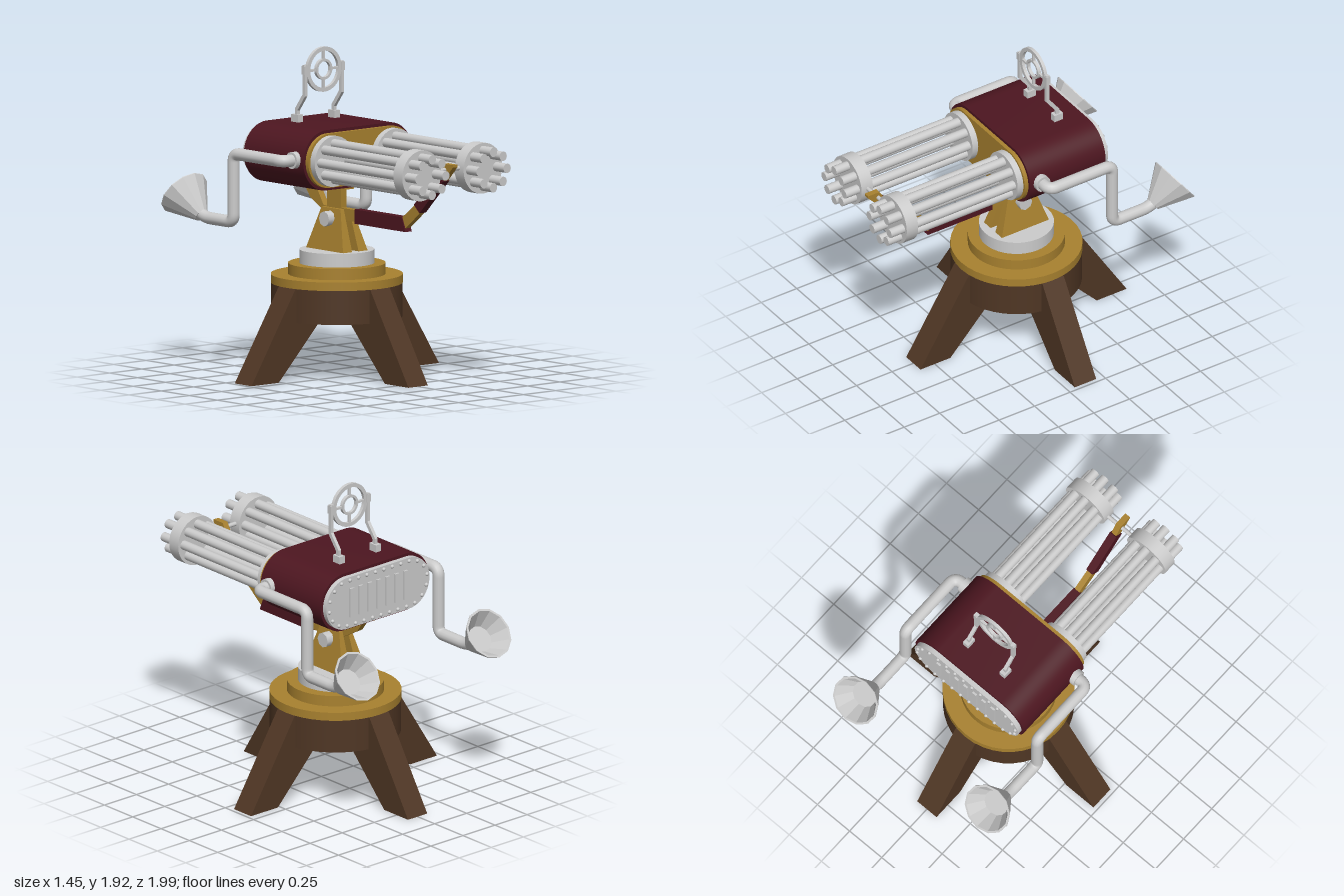
import * as THREE from 'three';
import { toCreasedNormals } from 'three/addons/utils/BufferGeometryUtils.js';

const mat = (color) => new THREE.MeshStandardMaterial({ color, side: THREE.DoubleSide });
const metal = mat(0xcccccc), red = mat(0x4d1620), gold = mat(0xa8812f), wood = mat(0x4f3624);
const V = (x, y, z) => new THREE.Vector3(x, y, z);
const baseZ = -0.125, gunY = 1.3;

export function createModel() {
  const root = new THREE.Group();

  const add = (name, geo, material, x = 0, y = 0, z = 0, parent = root) => {
    const m = new THREE.Mesh(geo, material);
    m.name = name;
    m.position.set(x, y, z);
    parent.add(m);
    return m;
  };
  const box = (name, w, h, d, material, x, y, z, parent) =>
    add(name, new THREE.BoxGeometry(w, h, d), material, x, y, z, parent);
  const disc = (name, r, y0, y1, material) =>
    add(name, new THREE.CylinderGeometry(r, r, y1 - y0, 40), material, 0, (y0 + y1) / 2, baseZ);
  // cylinder along z
  const rodZ = (name, r, z0, z1, material, x, y, parent, sides = 16) =>
    add(name, new THREE.CylinderGeometry(r, r, z1 - z0, sides).rotateX(Math.PI / 2), material, x, y, (z0 + z1) / 2, parent);
  // cylinder along x
  const rodX = (name, r, len, sides, x, y, z, parent) =>
    add(name, new THREE.CylinderGeometry(r, r, len, sides).rotateZ(Math.PI / 2), metal, x, y, z, parent);
  // side profile of [z, y] points given a width along x
  const profile = (pts, width) => {
    const shape = new THREE.Shape(pts.map(([z, y]) => new THREE.Vector2(z, y)));
    return new THREE.ExtrudeGeometry(shape, { depth: width, bevelEnabled: false })
      .translate(0, 0, -width / 2).rotateY(-Math.PI / 2);
  };
  // rounded-end outline: half length between arc centres, end radius
  const stadium = (half, r) => {
    const s = new THREE.Shape();
    s.absarc(half, 0, r, -Math.PI / 2, Math.PI / 2, false);
    s.absarc(-half, 0, r, Math.PI / 2, Math.PI * 1.5, false);
    s.closePath();
    return s;
  };
  const slab = (name, r, z0, z1, material) => {
    const g = new THREE.ExtrudeGeometry(stadium(0.242, r), { depth: z1 - z0, bevelEnabled: false, curveSegments: 20 });
    return add(name, toCreasedNormals(g, 0.6), material, 0, gunY, z0);
  };
  // polyline path with rounded corners
  const bentPath = (pts, r) => {
    const path = new THREE.CurvePath();
    let last = pts[0];
    for (let i = 1; i < pts.length - 1; i++) {
      const p = pts[i];
      const a = p.clone().add(pts[i - 1].clone().sub(p).setLength(r));
      const b = p.clone().add(pts[i + 1].clone().sub(p).setLength(r));
      path.add(new THREE.LineCurve3(last, a));
      path.add(new THREE.QuadraticBezierCurve3(a, p, b));
      last = b;
    }
    path.add(new THREE.LineCurve3(last, pts[pts.length - 1]));
    return path;
  };

  // Stand: drum, four splayed legs and stepped turntable
  disc('drum', 0.385, 0.34, 0.54, wood);
  for (let i = 0; i < 4; i++) {
    const leg = add('leg', profile([[0.37, 0.54], [0.385, 0.54], [0.725, 0], [0.515, 0], [0.19, 0.34], [0.19, 0.54]], 0.15), wood, 0, 0, baseZ);
    leg.rotation.y = i * Math.PI / 2;
  }
  disc('lowerPlate', 0.387, 0.54, 0.59, gold);
  disc('upperPlate', 0.285, 0.59, 0.655, gold);
  disc('turntable', 0.22, 0.655, 0.735, metal);

  // Yoke: two tapering cheeks, pivot pin and mounting struts
  for (const side of [-1, 1]) {
    const g = profile([[0.165, 0.735], [0.085, 0.98], [-0.085, 0.98], [-0.165, 0.735]], 2);
    const p = g.attributes.position;
    for (let i = 0; i < p.count; i++) {
      const t = (p.getY(i) - 0.735) / 0.245;
      const outer = p.getX(i) * side > 0;
      p.setX(i, side * (outer ? 0.095 - 0.05 * t : 0.025 - 0.005 * t));
    }
    g.computeVertexNormals();
    add('yokeCheek', g, gold, 0, 0, baseZ);
  }
  const pin = rodX('pivotPin', 0.045, 0.2, 8, 0, 0.92, baseZ);
  pin.material = metal;
  box('post', 0.07, 0.2, 0.125, gold, 0, 1.04, baseZ).scale.x = 0.6;
  box('postPad', 0.1, 0.03, 0.19, gold, 0, 1.11, baseZ);
  add('rearStrut', profile([[-0.1, 0.91], [-0.1, 0.985], [-0.22, 0.985], [-0.29, 1.095], [-0.395, 1.095], [-0.34, 1.02], [-0.2, 0.94]], 0.04), gold);
  box('rearPad', 0.1, 0.03, 0.13, gold, 0, 1.11, -0.355);

  // Steering arm running forward between the barrels
  add('armRoot', profile([[-0.12, 0.915], [0.08, 0.915], [0.08, 0.985], [-0.12, 0.985]], 0.036), gold);
  add('lowerGrip', profile([[0.06, 0.905], [0.515, 0.905], [0.48, 0.99], [0.06, 0.99]], 0.05), red);
  add('armElbow', profile([[0.46, 0.975], [0.5, 0.92], [0.645, 1.035], [0.595, 1.075]], 0.036), gold);
  add('upperGrip', profile([[0.59, 1.075], [0.64, 1.03], [0.85, 1.24], [0.8, 1.28]], 0.05), red);
  add('armTip', profile([[0.8, 1.265], [0.84, 1.235], [0.93, 1.33], [0.93, 1.345], [0.85, 1.345]], 0.036), gold);
  rodX('crossbar', 0.013, 0.24, 10, 0, 1.31, 0.86);

  // Housing with front and back plates
  slab('housing', 0.178, -0.47, 0.06, red);
  slab('frontPlate', 0.16, 0.06, 0.085, gold);
  slab('backPlate', 0.16, -0.5, -0.47, metal);
  const rivet = new THREE.SphereGeometry(0.012, 10, 6);
  stadium(0.242, 0.14).getSpacedPoints(28).slice(0, -1)
    .forEach((q) => add('rivet', rivet, metal, q.x, gunY + q.y, -0.501));
  for (let i = 0; i < 7; i++) box('ventSlat', 0.03, 0.18, 0.014, metal, (i - 3) * 0.07, gunY, -0.505);

  for (const side of [-1, 1]) {
    // Barrel cluster
    const cluster = new THREE.Group();
    cluster.name = 'barrelCluster';
    cluster.position.set(side * 0.237, gunY, 0);
    root.add(cluster);
    rodZ('rearCollar', 0.15, 0.085, 0.125, metal, 0, 0, cluster, 32);
    rodZ('frontCollar', 0.15, 0.825, 0.905, metal, 0, 0, cluster, 32);
    for (let i = 0; i < 8; i++) {
      const a = i * Math.PI / 4;
      rodZ('barrel', 0.028, 0.1, 1, metal, 0.105 * Math.cos(a), 0.105 * Math.sin(a), cluster);
    }

    // Exhaust pipe and flared horn
    const x = side * 0.512;
    rodX('pipeFlange', 0.05, 0.045, 16, side * 0.425, 1.31, -0.015);
    const path = bentPath([V(side * 0.4, 1.31, -0.015), V(x, 1.31, -0.015), V(x, 1.31, -0.455),
      V(x, 0.905, -0.455), V(x, 0.905, -0.71), V(x, 0.935, -0.765)], 0.05);
    add('exhaustPipe', new THREE.TubeGeometry(path, 110, 0.036, 14), metal);
    const hornPts = [[0, 0], [0.042, 0], [0.155, 0.195], [0.155, 0.2], [0.142, 0.2], [0.08, 0.1], [0, 0.1]];
    const horn = new THREE.LatheGeometry(hornPts.map(([r, y]) => new THREE.Vector2(r, y)), 12);
    const hornMesh = add('horn', toCreasedNormals(horn, 0.3), metal, x, 0.913, -0.74);
    hornMesh.quaternion.setFromUnitVectors(V(0, 1, 0), V(0, 0.6, -0.8));

    // Sight support
    const sx = side * 0.142;
    box('sightFoot', 0.04, 0.055, 0.06, metal, sx, 1.495, -0.315);
    add('sightRod', profile([[-0.325, 1.5], [-0.325, 1.555], [-0.257, 1.645], [-0.257, 1.82],
      [-0.235, 1.82], [-0.235, 1.635], [-0.303, 1.545], [-0.303, 1.5]], 0.02), metal, sx);
    box('sightClamp', 0.028, 0.05, 0.028, metal, side * 0.142, 1.79, -0.246);
  }

  // Ring sight
  const sight = new THREE.Group();
  sight.name = 'ringSight';
  sight.position.set(0, 1.783, -0.246);
  root.add(sight);
  for (const [outer, inner] of [[0.133, 0.109], [0.062, 0.047]]) {
    const s = new THREE.Shape().absarc(0, 0, outer, 0, Math.PI * 2);
    s.holes.push(new THREE.Path().absarc(0, 0, inner, 0, Math.PI * 2));
    const g = new THREE.ExtrudeGeometry(s, { depth: 0.02, bevelEnabled: false, curveSegments: 32 });
    add('sightRing', toCreasedNormals(g, 0.6), metal, 0, 0, -0.01, sight);
  }
  for (let i = 0; i < 4; i++) {
    const a = i * Math.PI / 2;
    box('sightSpoke', 0.06, 0.014, 0.016, metal, 0.086 * Math.cos(a), 0.086 * Math.sin(a), 0, sight).rotation.z = a;
  }

  return root;
}
